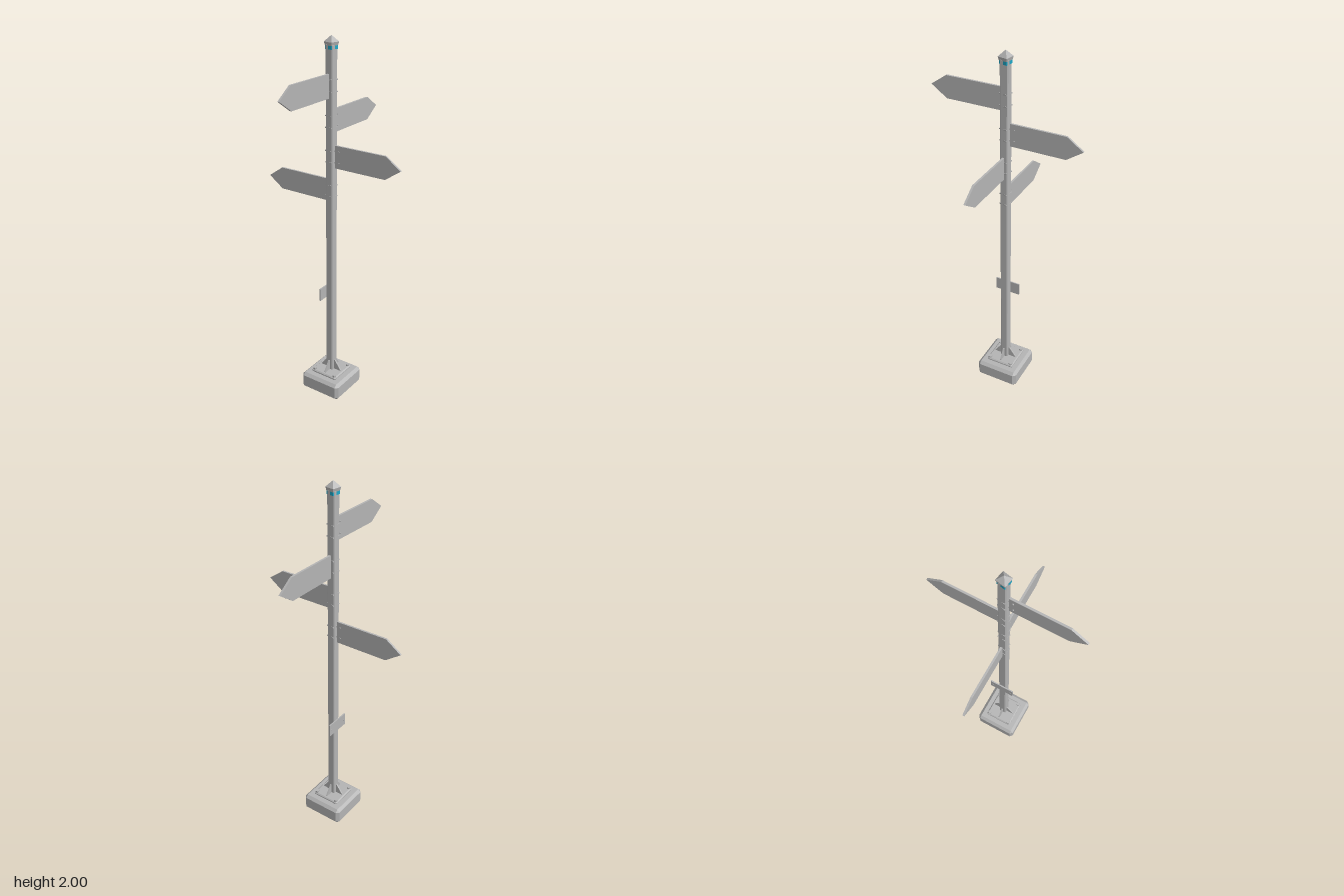
import * as THREE from 'three';
import { ConvexGeometry } from 'three/addons/geometries/ConvexGeometry.js';

const grey = new THREE.MeshStandardMaterial({ color: 0xb4b4b4, flatShading: true });
grey.name = 'galvanised grey';
const teal = new THREE.MeshStandardMaterial({ color: 0x1fa8c8, flatShading: true });
teal.name = 'teal';

function add(parent, name, geometry, x = 0, y = 0, z = 0, material = grey) {
  const mesh = new THREE.Mesh(geometry, material);
  mesh.name = name;
  mesh.position.set(x, y, z);
  parent.add(mesh);
  return mesh;
}

// Box with every edge cut at 45 degrees
function chamferedBox(w, h, d, c) {
  const points = [];
  for (const sx of [-1, 1]) for (const sy of [-1, 1]) for (const sz of [-1, 1]) {
    const [x, y, z] = [w / 2, h / 2, d / 2];
    points.push(
      new THREE.Vector3(sx * x, sy * (y - c), sz * (z - c)),
      new THREE.Vector3(sx * (x - c), sy * y, sz * (z - c)),
      new THREE.Vector3(sx * (x - c), sy * (y - c), sz * z),
    );
  }
  return new ConvexGeometry(points);
}

// Flat outline in x-y, extruded evenly about z = 0
function slab(corners, depth) {
  const shape = new THREE.Shape(corners.map(([x, y]) => new THREE.Vector2(x, y)));
  const geometry = new THREE.ExtrudeGeometry(shape, { depth, bevelEnabled: false });
  return geometry.translate(0, 0, -depth / 2);
}

// Four-sided prism or pyramid with its sides facing the axes
function squareCylinder(top, bottom, height) {
  const r = Math.SQRT2;
  return new THREE.CylinderGeometry(top * r, bottom * r, height, 4).rotateY(Math.PI / 4);
}

export function createModel() {
  const model = new THREE.Group();
  model.name = 'signpost';
  const twist = -0.19;

  // Footing and bolted base plate
  add(model, 'footing', chamferedBox(0.248, 0.1, 0.248, 0.016), 0, 0.05, 0);
  add(model, 'basePlate', chamferedBox(0.162, 0.018, 0.162, 0.006), 0, 0.107, 0);
  for (const x of [-0.067, 0.067]) for (const z of [-0.067, 0.067]) {
    add(model, 'anchorBolt', new THREE.CylinderGeometry(0.011, 0.011, 0.012, 6), x, 0.12, z);
  }

  // Triangular gussets on the four sides of the post
  const gusset = slab([[0.018, 0.112], [0.066, 0.112], [0.066, 0.119], [0.026, 0.175], [0.018, 0.175]], 0.008);
  for (let i = 0; i < 4; i++) {
    add(model, 'gusset', gusset).rotation.y = i * Math.PI / 2;
  }

  // Post
  add(model, 'post', chamferedBox(0.044, 1.85, 0.044, 0.005), 0, 1.035, 0);

  // Cap turned slightly against the post, with a teal collar below
  const cap = new THREE.Group();
  cap.name = 'cap';
  cap.rotation.y = twist;
  add(cap, 'collar', squareCylinder(0.0222, 0.0222, 0.018), 0, 1.944, 0, teal);
  add(cap, 'capRim', squareCylinder(0.026, 0.022, 0.018), 0, 1.96, 0);
  add(cap, 'capPoint', squareCylinder(0, 0.026, 0.031), 0, 1.9845, 0);
  model.add(cap);

  // Pointed sign boards, one per direction, each with two straps and two screws
  const board = slab([[0.027, -0.06], [0.322, -0.06], [0.408, 0], [0.322, 0.06], [0.027, 0.06]], 0.011);
  const screw = new THREE.CylinderGeometry(0.0045, 0.0045, 0.005, 8).rotateX(Math.PI / 2);
  const strap = squareCylinder(0.0222, 0.0222, 0.006);
  const signs = [
    ['leftSign', 1.58, 0],
    ['rightSign', 1.76, Math.PI],
    ['frontSign', 1.4, -Math.PI / 2],
    ['backSign', 1.215, Math.PI / 2],
  ];
  for (const [name, y, angle] of signs) {
    const sign = new THREE.Group();
    sign.name = name;
    sign.position.y = y;
    sign.rotation.y = angle;
    add(sign, 'board', board);
    for (const dy of [-0.03, 0.03]) {
      add(sign, 'strap', strap, 0, dy, 0).rotation.y = twist;
      add(sign, 'strapLug', new THREE.BoxGeometry(0.012, 0.008, 0.006), 0.024, dy, 0);
      add(sign, 'screw', screw, 0.048, dy, 0.007);
    }
    model.add(sign);
  }

  // Small notice plate on the back
  add(model, 'noticePlate', new THREE.BoxGeometry(0.142, 0.072, 0.007), 0, 0.617, -0.0265);
  for (const x of [-0.056, 0.056]) {
    add(model, 'noticeScrew', screw, x, 0.617, -0.03);
  }

  return model;
}
